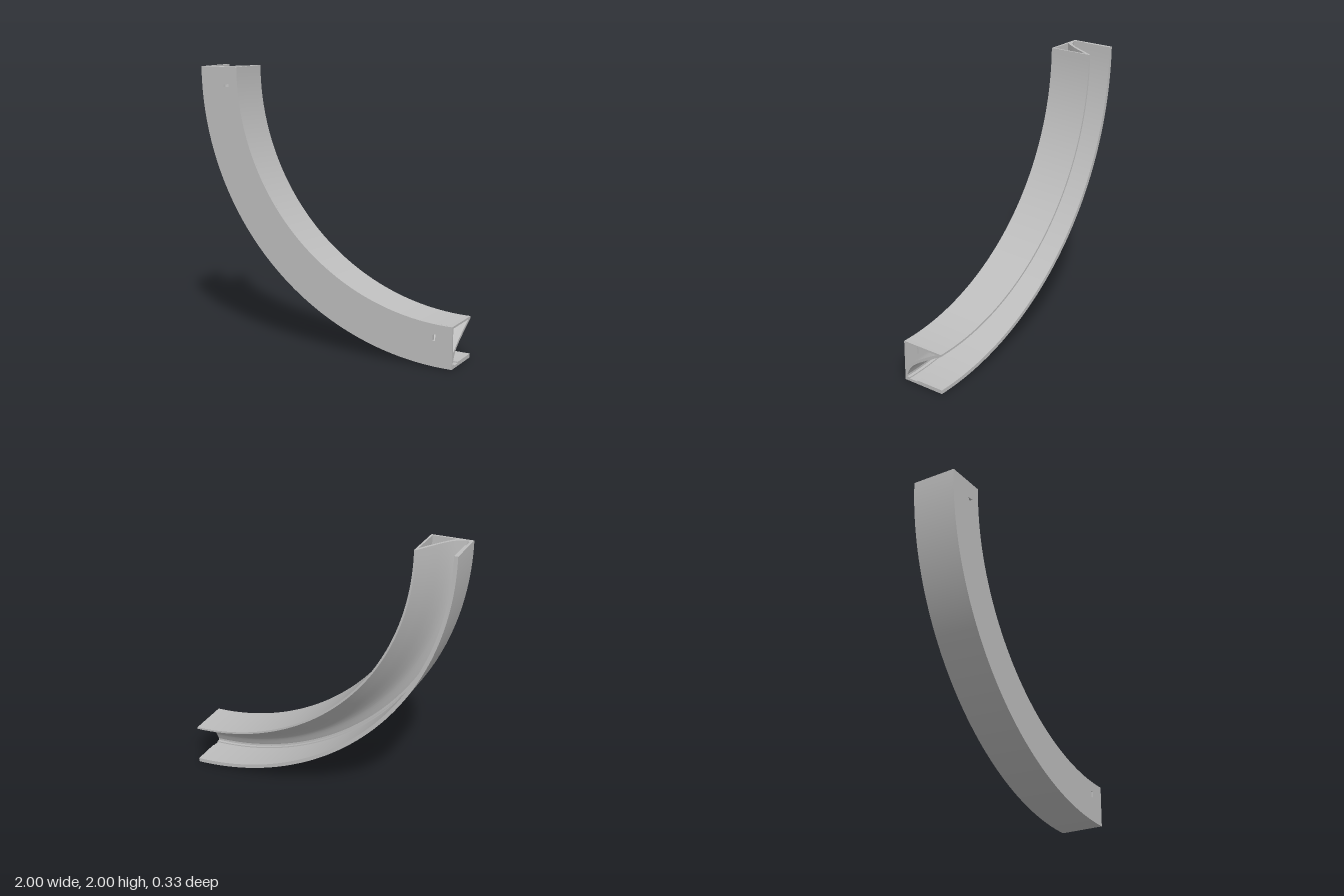
import * as THREE from 'three';
import { toCreasedNormals } from 'three/addons/utils/BufferGeometryUtils.js';

const CX = 1, CY = 2;            // centre of the quarter arc
const R_IN = 1.7, R_OUT = 2;     // inner and outer radius
const Z = 0.165, WALL_Z = 0.148; // half depth, inside of the front wall
const SLOT_R = 1.795, SLOT_ANGLE = 0.075;

const v = (r, z) => new THREE.Vector2(r, z);

// Sweep a (radius, z) section along the quarter arc
function sweep(shape) {
  const g = new THREE.ExtrudeGeometry(shape, { depth: 1, steps: 72, bevelEnabled: false, curveSegments: 16 });
  const p = g.attributes.position;
  for (let i = 0; i < p.count; i++) {
    const r = p.getX(i), z = p.getY(i);
    const a = Math.PI * (1.5 - 0.5 * p.getZ(i));
    p.setXYZ(i, CX + r * Math.cos(a), CY + r * Math.sin(a), z);
  }
  return toCreasedNormals(g, 0.5);
}

// Rectangle centred on a slot, long side along the radius
function slotRect(angle, length, width, PathType) {
  const c = Math.cos(angle), s = Math.sin(angle);
  const corners = [[-1, -1], [1, -1], [1, 1], [-1, 1]].map(([i, j]) => {
    const r = SLOT_R + i * length / 2, t = j * width / 2;
    return v(CX + r * c - t * s, CY + r * s + t * c);
  });
  return new PathType(corners);
}

export function createModel() {
  const model = new THREE.Group();
  model.name = 'curvedChannel';
  const grey = new THREE.MeshStandardMaterial({ color: 0xbebebe });
  grey.name = 'light grey';

  const add = (name, geometry) => {
    const mesh = new THREE.Mesh(geometry, grey);
    mesh.name = name;
    model.add(mesh);
    return mesh;
  };

  const slots = [Math.PI + SLOT_ANGLE, 1.5 * Math.PI - SLOT_ANGLE];

  // Flat front wall with a slot near each end
  const front = new THREE.Shape();
  front.absarc(CX, CY, R_OUT, Math.PI, 1.5 * Math.PI, false);
  front.absarc(CX, CY, R_IN, 1.5 * Math.PI, Math.PI, true);
  front.closePath();
  for (const a of slots) front.holes.push(slotRect(a, 0.045, 0.02, THREE.Path));
  const frontGeometry = new THREE.ExtrudeGeometry(front, { depth: Z - WALL_Z, bevelEnabled: false, curveSegments: 72 });
  frontGeometry.translate(0, 0, WALL_Z);
  add('frontWall', toCreasedNormals(frontGeometry, 0.5));

  // Raised frames behind the slots
  for (const a of slots) {
    const frame = slotRect(a, 0.1, 0.05, THREE.Shape);
    frame.holes.push(slotRect(a, 0.045, 0.02, THREE.Path));
    const g = new THREE.ExtrudeGeometry(frame, { depth: 0.01, bevelEnabled: false });
    g.translate(0, 0, WALL_Z - 0.01);
    add('slotFrame', g);
  }

  // Outer wall with a shallow groove along its inside
  add('outerWall', sweep(new THREE.Shape([
    v(R_OUT, -Z), v(R_OUT, WALL_Z), v(1.972, WALL_Z), v(1.972, 0.125),
    v(1.981, 0.125), v(1.981, 0.055), v(1.972, 0.055), v(1.972, -Z),
  ])));

  // Thin inner wall
  add('innerWall', sweep(new THREE.Shape([
    v(R_IN, -Z), v(1.714, -Z), v(1.714, WALL_Z), v(R_IN, WALL_Z),
  ])));

  // Curved web from the back of the inner wall to the front corner
  const web = new THREE.Shape();
  web.moveTo(1.714, -Z);
  web.splineThru([v(1.767, -0.07), v(1.835, 0.045), v(1.89, 0.11), v(1.957, WALL_Z)]);
  web.lineTo(1.887, WALL_Z);
  web.splineThru([v(1.82, 0.057), v(1.752, -0.055), v(1.714, -0.125)]);
  web.closePath();
  add('curvedWeb', sweep(web));

  return model;
}
